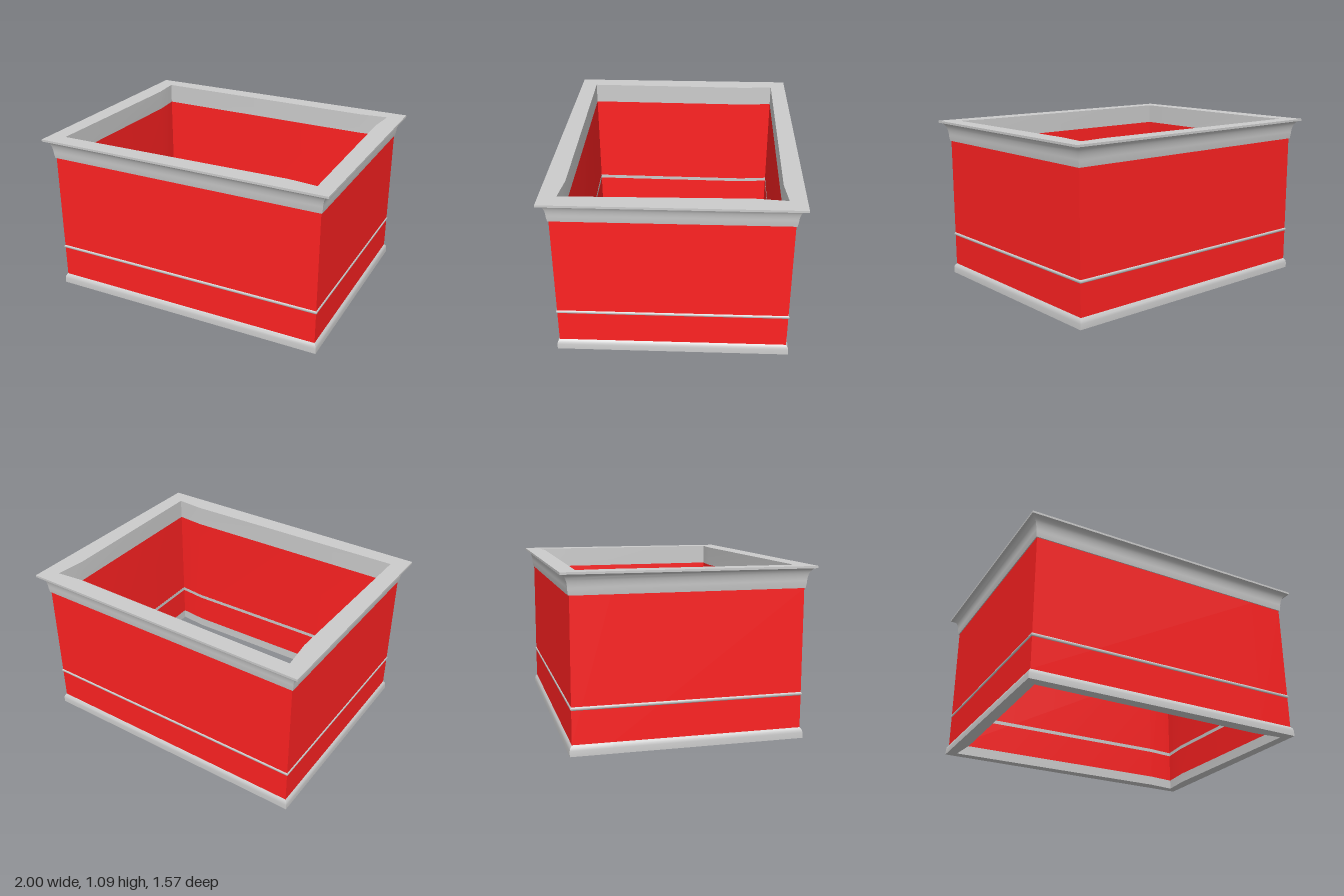
import * as THREE from 'three';
import { toCreasedNormals } from 'three/addons/utils/BufferGeometryUtils.js';

const HALF_X = 0.94, HALF_Z = 0.725;

// Plan points, counter-clockwise from above: inner x, inner z, then the outer
// side in x and z (0 = not a corner, keep the inner coordinate on that axis).
const PLAN = [
  [-0.89, 0.675, -1, 1], [0.7, 0.655, 0, 1],
  [0.89, 0.675, 1, 1], [0.87, -0.48, 1, 0],
  [0.89, -0.68, 1, -1], [0.7, -0.66, 0, -1],
  [-0.89, -0.68, -1, -1], [-0.87, -0.48, -1, 0],
];

// Mitred rectangular ring: outer profile of [offset, y] from bottom to top,
// closed by the slightly bowed inner face.
function ring(name, color, profile, inset = 0) {
  const n = PLAN.length;
  const yBottom = profile[0][1], yTop = profile[profile.length - 1][1];
  const inner = (y) => PLAN.map(([x, z]) => [x * (1 - inset), y, z * (1 - inset)]);
  const loops = profile.map(([d, y]) => PLAN.map(([x, z, sx, sz]) =>
    [sx ? sx * (HALF_X + d) : x, y, sz ? sz * (HALF_Z + d) : z]));
  loops.push(inner(yTop), inner(yBottom));

  const pos = [];
  const m = loops.length;
  for (let j = 0; j < m; j++) {
    const lo = loops[j], hi = loops[(j + 1) % m];
    for (let i = 0; i < n; i++) {
      const k = (i + 1) % n;
      pos.push(...lo[i], ...lo[k], ...hi[k], ...lo[i], ...hi[k], ...hi[i]);
    }
  }
  const geo = new THREE.BufferGeometry();
  geo.setAttribute('position', new THREE.Float32BufferAttribute(pos, 3));
  const mesh = new THREE.Mesh(toCreasedNormals(geo, 0.5),
    new THREE.MeshStandardMaterial({ color }));
  mesh.name = name;
  return mesh;
}

export function createModel() {
  const group = new THREE.Group();
  group.name = 'planterBox';
  const grey = 0xcccccc, red = 0xff2222;

  // Plinth with a small rounded shoulder
  group.add(ring('baseMoulding', grey, [
    [0.015, 0], [0.015, 0.035], [0.012, 0.05], [0.006, 0.06], [0, 0.067],
  ]));

  // Red walls
  group.add(ring('walls', red, [[0, 0.067], [0, 0.953]]));

  // Half-round bead running through the walls
  const bead = [];
  for (let i = 0; i <= 8; i++) {
    const a = -Math.PI / 2 + (i / 8) * Math.PI;
    bead.push([-0.007 + 0.013 * Math.cos(a), 0.286 + 0.013 * Math.sin(a)]);
  }
  group.add(ring('bead', grey, bead, 0.001));

  // Crown with a concave cove and a thin flat lip
  const crown = [[0.006, 0.953]];
  for (let i = 0; i <= 10; i++) {
    const a = (i / 10) * Math.PI / 2;
    crown.push([0.052 - 0.041 * Math.cos(a), 0.985 + 0.092 * Math.sin(a)]);
  }
  crown.push([0.06, 1.078], [0.06, 1.092]);
  group.add(ring('crownMoulding', grey, crown));

  return group;
}
